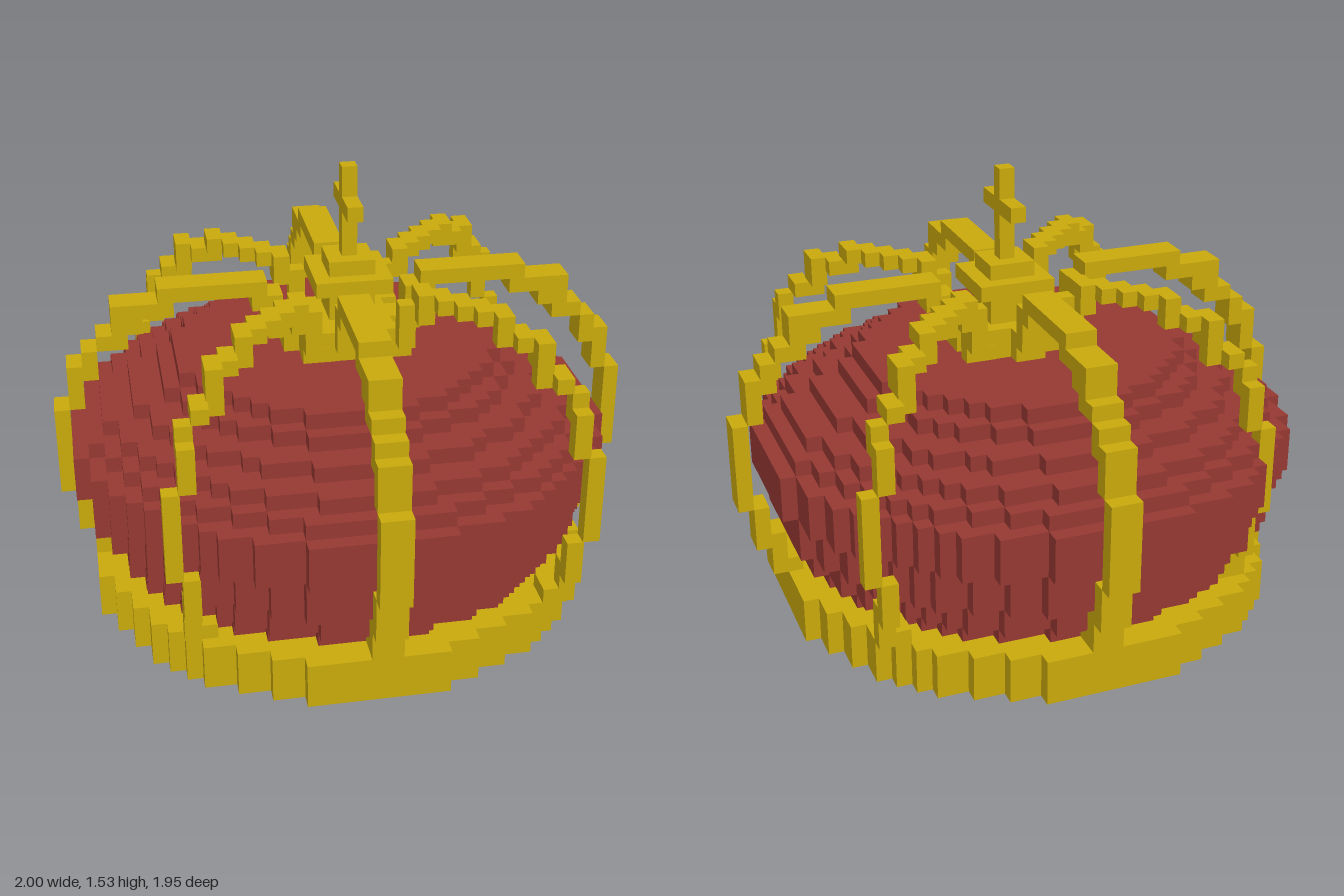
import * as THREE from 'three';
import { mergeGeometries } from 'three/addons/utils/BufferGeometryUtils.js';

const U = 1 / 19; // size of one block

// Box from block-unit bounds, optionally grown a hair to avoid coplanar faces
function block(x0, x1, y0, y1, z0, z1, grow = 0) {
  const g = new THREE.BoxGeometry((x1 - x0) * U + grow, (y1 - y0) * U, (z1 - z0) * U + grow);
  return g.translate((x0 + x1) / 2 * U, (y0 + y1) / 2 * U, (z0 + z1) / 2 * U);
}

// Stepped round slab centred on x = -0.5 blocks
function disc(radius, y0, y1) {
  const n = Math.floor(radius);
  const right = [];
  for (let k = -n; k <= n; k++) {
    const half = Math.floor(Math.sqrt(radius * radius - k * k)) + 0.5;
    right.push([half, k - 0.5], [half, k + 0.5]);
  }
  const left = right.map(([x, z]) => [-x, z]).reverse();
  const pts = [...right, ...left].map(([x, z]) => new THREE.Vector2((x - 0.5) * U, z * U));
  const g = new THREE.ExtrudeGeometry(new THREE.Shape(pts), { depth: (y1 - y0) * U, bevelEnabled: false });
  return g.rotateX(-Math.PI / 2).translate(0, y0 * U, 0);
}

// Arch profile: distance from centre (from, to), height (from, to)
const ARCH = [
  [15, 17, 3, 4], [16, 17, 4, 6], [17, 18, 5, 8], [18, 19, 8, 14],
  [17, 18, 14, 17], [16, 17, 16, 18], [14, 16, 18, 19], [13, 15, 19, 20],
  [11, 15, 20, 21], [5, 12, 21, 22], [4, 6, 20, 21], [4, 5, 19, 20],
  [3, 5, 18, 19], [2, 4, 17, 18],
];

// Straight arch along one axis, two blocks wide
function straightArch(axis, side) {
  return mergeGeometries(ARCH.map(([d0, d1, y0, y1]) => {
    const shift = axis === 'z' ? 0.5 : 0;
    const a = side * (d0 - shift), b = side * (d1 - shift);
    const lo = Math.min(a, b), hi = Math.max(a, b);
    return axis === 'x' ? block(lo, hi, y0, y1, -0.5, 1.5) : block(-1, 1, y0, y1, lo, hi);
  }));
}

// Diagonal arch: the same profile along a staircase of single blocks
function diagonalArch(sx, sz) {
  const parts = [];
  for (let s = 4; s <= 25; s++) {
    const d = Math.floor(s * 0.72);
    const cx = sx * Math.ceil(s / 2);
    const c = Math.floor(s / 2);
    const cz = sz > 0 ? c + 0.5 : -c - 0.5;
    for (const [d0, d1, y0, y1] of ARCH) {
      if (d >= d0 && d < d1) parts.push(block(cx, cx + 1, y0, y1, cz, cz + 1, 0.004));
    }
  }
  return mergeGeometries(parts);
}

export function createModel() {
  const model = new THREE.Group();
  const gold = new THREE.MeshStandardMaterial({ color: 0xc9a90c });
  gold.name = 'gold';
  const red = new THREE.MeshStandardMaterial({ color: 0x963832 });
  red.name = 'red velvet';
  const add = (name, geometry, material) => {
    const mesh = new THREE.Mesh(geometry, material);
    mesh.name = name;
    model.add(mesh);
  };

  // Base band
  add('baseBand', disc(16.5, 0, 3), gold);

  // Bulging cap: radius, bottom, top of each tier
  const tiers = [
    [14.5, 3, 4], [15.5, 4, 6], [16.5, 6, 9], [17.5, 9, 12], [16.5, 12, 13],
    [15.5, 13, 14], [13.5, 14, 15], [11.5, 15, 16], [10.5, 16, 17],
  ];
  add('velvetCap', mergeGeometries(tiers.map((t) => disc(...t))), red);

  // Eight arches; the diagonal staircases are anchored half a block off centre
  for (const side of [-1, 1]) {
    add(side > 0 ? 'leftArch' : 'rightArch', straightArch('x', side), gold);
    add(side > 0 ? 'frontArch' : 'backArch', straightArch('z', side), gold);
    for (const sz of [-1, 1]) {
      add((sz > 0 ? 'front' : 'back') + (side > 0 ? 'Left' : 'Right') + 'DiagonalArch', diagonalArch(side, sz), gold);
    }
  }

  // Hub and orb where the arches meet
  add('hub', block(-3, 3, 17, 19, -2.5, 3.5), gold);
  add('orb', mergeGeometries([
    block(-1, 2, 19, 21, -1.5, 1.5),
    block(-2, 3, 21, 22, -2.5, 2.5),
    block(-1, 2, 22, 23, -1.5, 1.5),
  ]), gold);

  // Cross
  add('crossPost', block(0, 1, 23, 29, -0.5, 0.5), gold);
  for (const s of [-1, 1]) add('crossArm', block(0, 1, 26, 27, Math.min(s * 0.5, s * 2.5), Math.max(s * 0.5, s * 2.5)), gold);

  return model;
}
